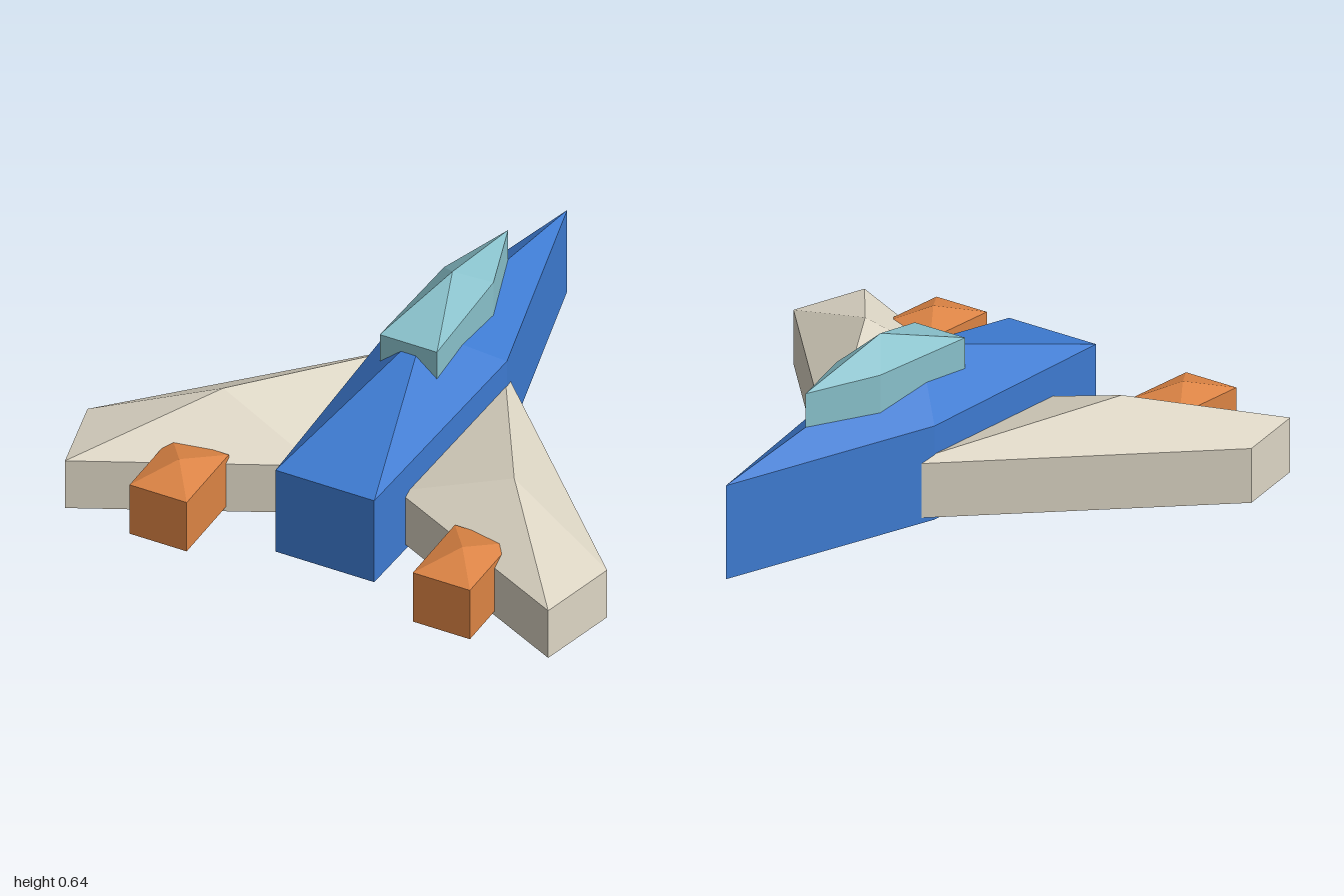
import * as THREE from 'three';

const paint = (name, color) => {
  const material = new THREE.MeshStandardMaterial({ color });
  material.name = name;
  return material;
};

// Prism over an [x, z] outline, capped by a low pyramid whose peak sits above the outline's centre.
function peakedPrism(outline, base, eave, peak) {
  const n = outline.length;
  const cx = outline.reduce((sum, p) => sum + p[0], 0) / n;
  const cz = outline.reduce((sum, p) => sum + p[1], 0) / n;
  const positions = [];
  const triangle = (...corners) => corners.forEach((c) => positions.push(...c));
  outline.forEach(([ax, az], i) => {
    const [bx, bz] = outline[(i + 1) % n];
    const a0 = [ax, base, az], b0 = [bx, base, bz];
    const a1 = [ax, eave, az], b1 = [bx, eave, bz];
    triangle(a0, b0, b1);
    triangle(a0, b1, a1);
    triangle(a1, b1, [cx, peak, cz]);
    triangle(b0, a0, [cx, base, cz]);
  });
  const geometry = new THREE.BufferGeometry();
  geometry.setAttribute('position', new THREE.Float32BufferAttribute(positions, 3));
  geometry.computeVertexNormals();
  return geometry;
}

// Same outline on the other side, reversed so faces still point outwards.
const mirror = (outline) => outline.map(([x, z]) => [-x, z]).reverse();

export function createModel() {
  const model = new THREE.Group();
  model.name = 'spacecraft';
  const blue = paint('hull blue', 0x3d7ad0);
  const cream = paint('wing cream', 0xddd6c5);
  const teal = paint('canopy teal', 0x88c0ca);
  const orange = paint('engine orange', 0xdb8344);

  const add = (name, material, outline, base, eave, peak) => {
    const mesh = new THREE.Mesh(peakedPrism(outline, base, eave, peak), material);
    mesh.name = name;
    model.add(mesh);
  };

  // Pointed fuselage and the canopy sunk into its top
  add('fuselage', blue,
    [[0, -0.985], [-0.22, -0.12], [-0.19, 0.8], [0.19, 0.8], [0.22, -0.12]], 0, 0.345, 0.53);
  add('canopy', teal,
    [[0, -0.55], [-0.095, -0.26], [-0.11, 0.185], [0.11, 0.185], [0.095, -0.26]], 0.38, 0.545, 0.637);

  // Swept wings and the engine pods at their trailing edges
  const wing = [[0.155, 0.563], [0.93, 0.935], [1, 0.635], [0.155, -0.226]];
  const engine = [[0.435, 0.985], [0.655, 0.985], [0.655, 0.675], [0.435, 0.675]];
  for (const [side, place] of [['left', (o) => o], ['right', mirror]]) {
    add(side + 'Wing', cream, place(wing), 0.02, 0.22, 0.355);
    add(side + 'Engine', orange, place(engine), 0.038, 0.245, 0.29);
  }
  return model;
}
